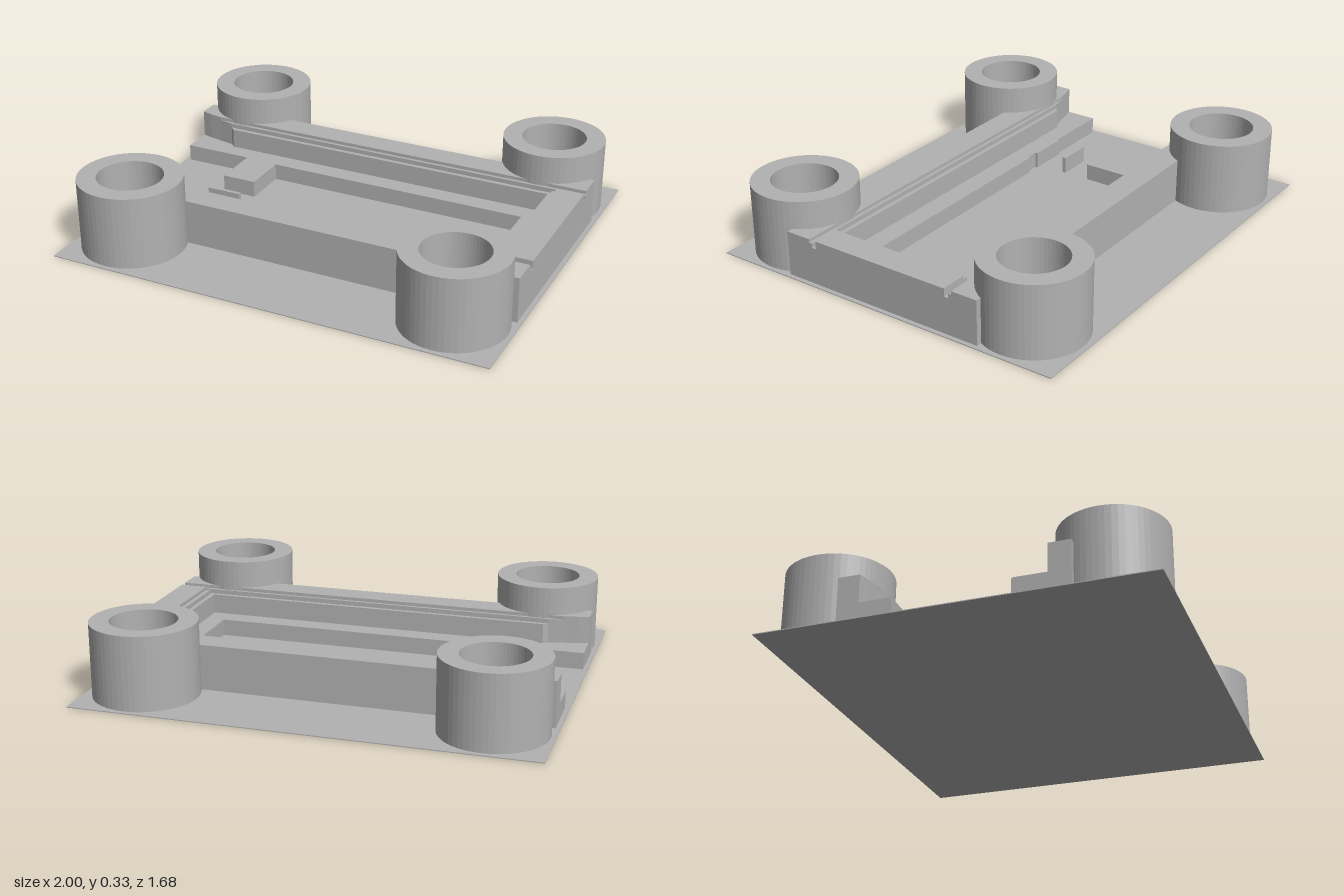
import * as THREE from 'three';

const RING = { x: 0.75, z: 0.59, outer: 0.23, inner: 0.145, height: 0.33 };

export function createModel() {
  const model = new THREE.Group();
  model.name = 'cornerPostTray';
  const grey = new THREE.MeshStandardMaterial({ color: 0xb2b2b2, flatShading: true });
  grey.name = 'grey plastic';

  // Raises a plan shape (x, z) from the floor to the given height
  function raise(name, shape, height) {
    const geometry = new THREE.ExtrudeGeometry(shape, {
      depth: height, bevelEnabled: false, curveSegments: 28,
    });
    geometry.rotateX(Math.PI / 2).translate(0, height, 0);
    const mesh = new THREE.Mesh(geometry, grey);
    mesh.name = name;
    model.add(mesh);
    return mesh;
  }
  function slab(name, points, height, side = 1) {
    const shape = new THREE.Shape(points.map(([x, z]) => new THREE.Vector2(x, z * side)));
    return raise(name, shape, height);
  }
  function block(name, x0, x1, z0, z1, height) {
    return slab(name, [[x0, z0], [x1, z0], [x1, z1], [x0, z1]], height);
  }

  // Thin base plate
  const plate = new THREE.Mesh(new THREE.BoxGeometry(2, 0.004, 1.68), grey);
  plate.name = 'basePlate';
  plate.position.y = 0.002;
  model.add(plate);

  // Hollow corner posts
  for (const sx of [-1, 1]) {
    for (const sz of [-1, 1]) {
      const ring = new THREE.Shape();
      ring.absarc(0, 0, RING.outer, 0, Math.PI * 2);
      const hole = new THREE.Path();
      hole.absarc(0, 0, RING.inner, 0, Math.PI * 2, true);
      ring.holes.push(hole);
      raise('cornerPost', ring, RING.height).position.set(sx * RING.x, 0, sz * RING.z);
    }
  }

  // Points of the rail edge cut away so the post bores stay clear
  function bite(cx) {
    const r = 0.19;
    const half = Math.acos((RING.z - 0.485) / r);
    const points = [];
    for (let i = 0; i <= 12; i++) {
      const a = half - (2 * half * i) / 12;
      points.push([cx + r * Math.sin(a), RING.z - r * Math.cos(a)]);
    }
    return points;
  }

  // Terraced side rails with a flared lead-in at the open end
  for (const side of [-1, 1]) {
    slab('sideRail', [
      [-0.98, 0.39], [-0.93, 0.376], [-0.87, 0.365], [0.98, 0.365], [0.98, 0.485],
      ...bite(RING.x), ...bite(-RING.x), [-0.98, 0.485],
    ], 0.205, side);
    slab('railUpperStep', [
      [-0.87, 0.365], [-0.8, 0.35], [0.98, 0.35], [0.98, 0.365],
    ], 0.19, side);
    slab('railLowerStep', [
      [-0.8, 0.35], [-0.78, 0.33], [0.98, 0.33], [0.98, 0.35],
    ], 0.17, side);
  }

  // Inner ledges; the back one carries a rectangular tab
  const outerEdge = [[0.815, 0.33], [-0.78, 0.33], [-0.8, 0.35],
    [-0.87, 0.365], [-0.93, 0.376], [-0.98, 0.39]];
  slab('backLedge', [
    [-0.98, 0.25], [-0.66, 0.25], [-0.66, 0.03], [-0.5, 0.03], [-0.5, 0.24],
    [0.815, 0.24], ...outerEdge,
  ], 0.08, -1);
  slab('frontLedge', [
    [-0.98, 0.245], [-0.66, 0.245], [-0.66, 0.235], [-0.47, 0.235], [-0.47, 0.245],
    [-0.41, 0.245], [-0.41, 0.235], [0.815, 0.235], ...outerEdge,
  ], 0.08);
  block('endLedge', 0.73, 0.815, -0.24, 0.235, 0.08);

  // Terraced end wall
  block('endLowerStep', 0.815, 0.835, -0.33, 0.33, 0.17);
  block('endUpperStep', 0.835, 0.855, -0.33, 0.33, 0.19);
  block('endWall', 0.855, 0.98, -0.33, 0.33, 0.205);

  // Small upright fin on the floor
  block('floorFin', -0.66, -0.5, 0.092, 0.11, 0.08);

  return model;
}
